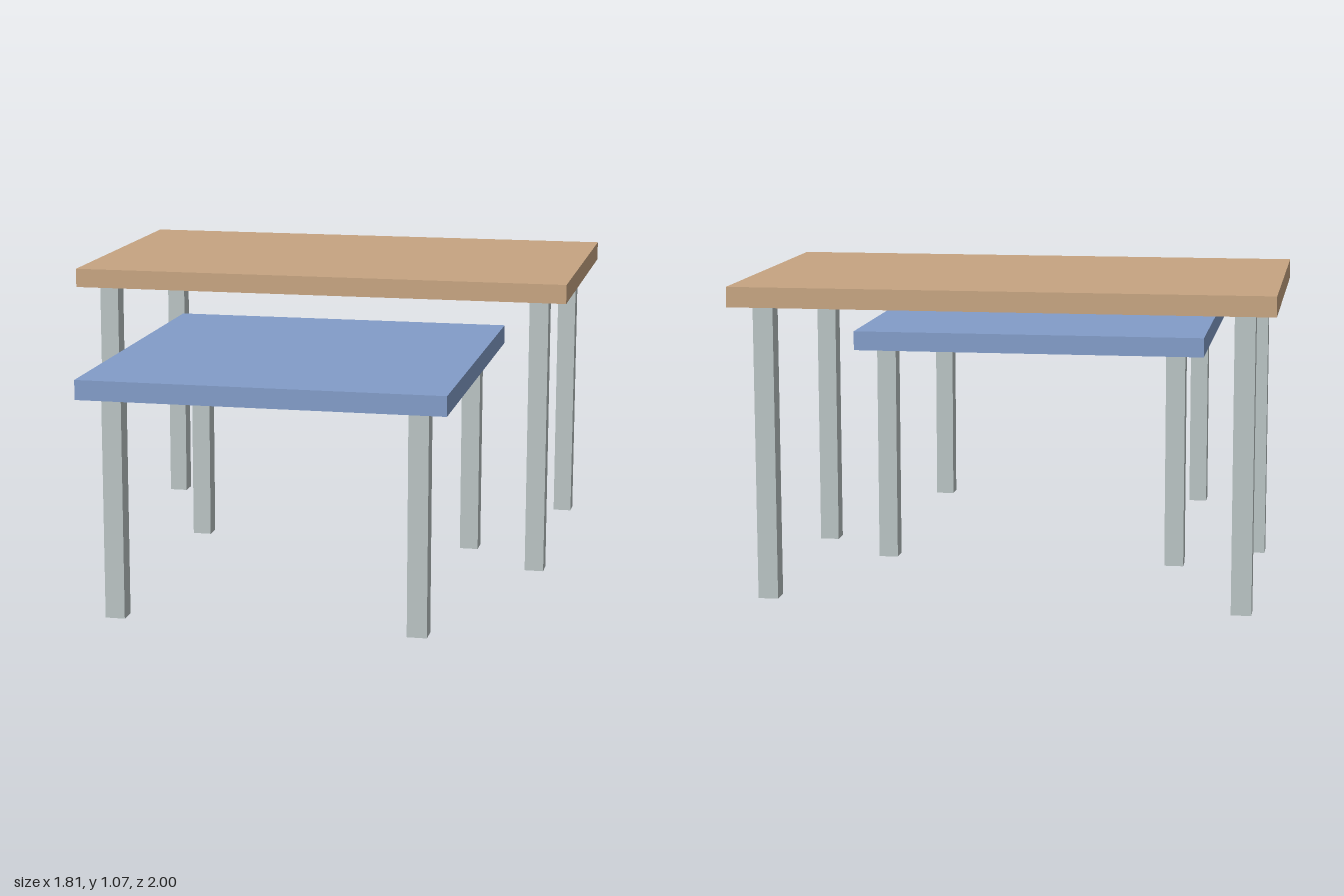
import * as THREE from 'three';

const LEG = 0.068;        // square leg section
const THICK = 0.068;      // slab thickness
const INSET = 0.104;      // leg centre to slab edge

function material(name, color) {
  const m = new THREE.MeshStandardMaterial({ color });
  m.name = name;
  return m;
}

// One table: a slab on four square legs, spanning zBack..zFront
function makeTable(name, halfWidth, zBack, zFront, legHeight, topMat, legMat) {
  const table = new THREE.Group();
  table.name = name;

  const top = new THREE.Mesh(new THREE.BoxGeometry(halfWidth * 2, THICK, zFront - zBack), topMat);
  top.name = 'tableTop';
  top.position.set(0, legHeight + THICK / 2, (zBack + zFront) / 2);
  table.add(top);

  const legGeometry = new THREE.BoxGeometry(LEG, legHeight, LEG);
  for (const [end, z] of [['front', zFront - INSET], ['back', zBack + INSET]]) {
    for (const [side, sign] of [['Left', 1], ['Right', -1]]) {
      const leg = new THREE.Mesh(legGeometry, legMat);
      leg.name = `${end}${side}Leg`;
      leg.position.set(sign * (halfWidth - INSET), legHeight / 2, z);
      table.add(leg);
    }
  }
  return table;
}

export function createModel() {
  const wood = material('tan wood', 0xc6a481);
  const blue = material('soft blue', 0x829cc8);
  const metal = material('pale grey metal', 0xb9c3c3);

  const model = new THREE.Group();
  model.name = 'nestingTables';
  model.add(
    makeTable('tallTable', 0.905, -1, 0.115, 1.003, wood, metal),
    makeTable('lowTable', 0.626, -0.343, 1, 0.77, blue, metal)
  );
  return model;
}
